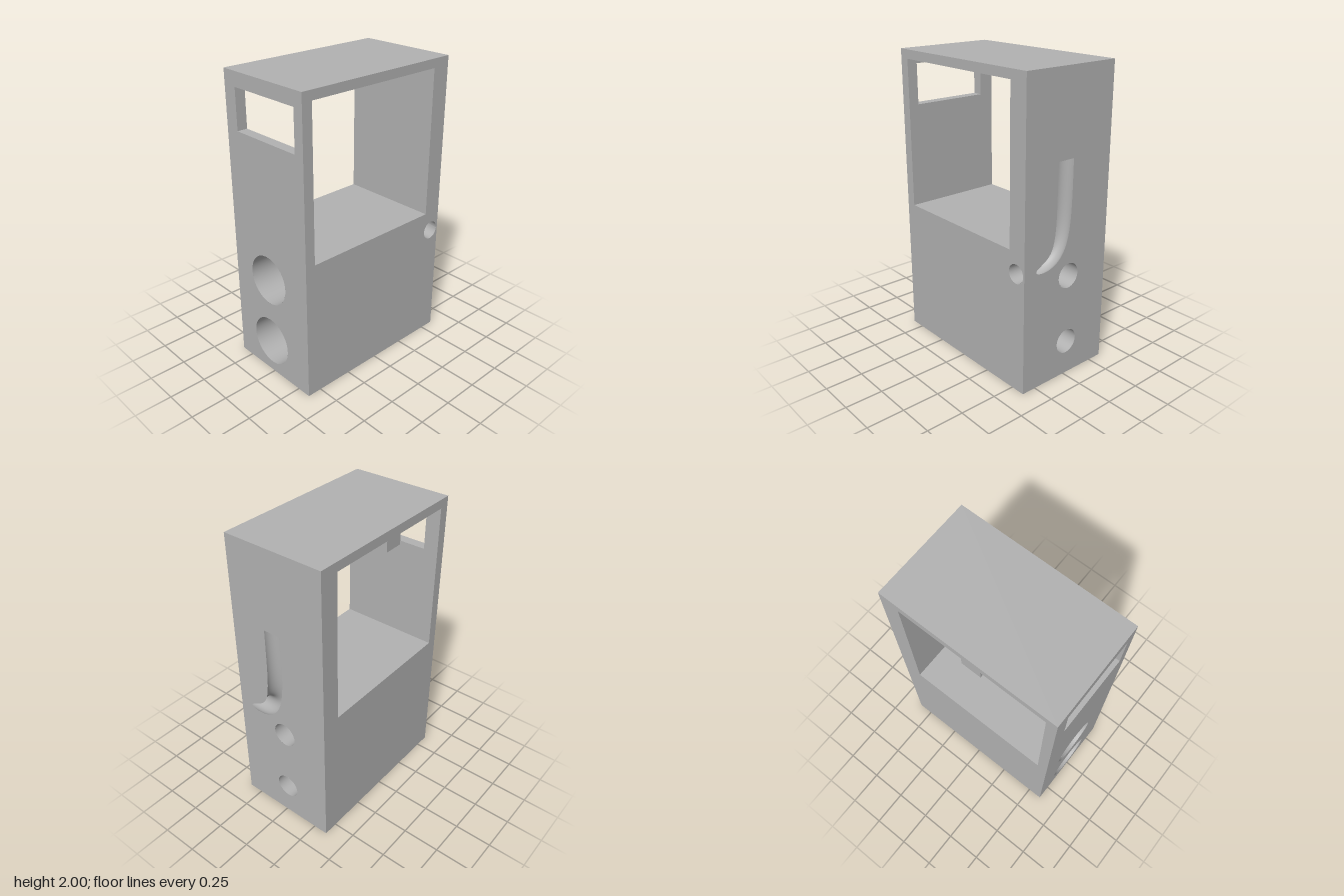
import * as THREE from 'three';

const W = 0.35, H = 2, D = 0.6;                               // half width, height, half depth
const OPEN = { z0: -0.47, z1: 0.53, y0: 0.94, y1: 1.94 };     // side-to-side opening
const SLOT = [-0.25, 1.635, 0.28, 1.905];                     // front window: x0, y0, x1, y1
const BORES = [[-0.02, 0.235], [-0.02, 0.7]];
const BIG = 0.168, SMALL = 0.083, STEP_Z = 0;
const PIPE = 0.063;

export function createModel() {
  const group = new THREE.Group();
  const grey = new THREE.MeshStandardMaterial({ color: 0xb2b2b2, side: THREE.DoubleSide });
  grey.name = 'grey';

  const add = (name, geometry, x = 0, y = 0, z = 0) => {
    const mesh = new THREE.Mesh(geometry, grey);
    mesh.name = name;
    mesh.position.set(x, y, z);
    group.add(mesh);
    return mesh;
  };
  const rect = (x0, y0, x1, y1, Type = THREE.Shape) => new Type([
    new THREE.Vector2(x0, y0), new THREE.Vector2(x1, y0),
    new THREE.Vector2(x1, y1), new THREE.Vector2(x0, y1),
  ]);
  const disc = (x, y, r, Type = THREE.Path) => new Type().absarc(x, y, r, 0, Math.PI * 2);
  const panel = (shape, holes = []) => {
    shape.holes.push(...holes);
    return new THREE.ShapeGeometry(shape, 48);
  };

  // Curved channel: enters the right side, bends upward and breaks out of the back
  const path = new THREE.CubicBezierCurve3(
    new THREE.Vector3(W, 0.8, -0.527), new THREE.Vector3(0.02, 0.8, -0.56),
    new THREE.Vector3(0.03, 0.9, -0.58), new THREE.Vector3(0.03, 1.455, -D));
  const STEPS = 64, SIDES = 32;
  const pos = [], index = [], edgeA = [], edgeB = [];
  for (let i = 0; i <= STEPS; i++) {
    const c = path.getPoint(i / STEPS), t = path.getTangent(i / STEPS);
    const u = new THREE.Vector2(-t.y, t.x).normalize();
    // keep only the arc of the section that lies inside the back face
    const start = Math.asin(Math.max(-1, (-D - c.z) / PIPE));
    for (let j = 0; j <= SIDES; j++) {
      const a = start + (Math.PI - 2 * start) * j / SIDES;
      const k = PIPE * Math.cos(a);
      pos.push(c.x + u.x * k, c.y + u.y * k, c.z + PIPE * Math.sin(a));
      if (i < STEPS && j < SIDES) {
        const p = i * (SIDES + 1) + j, q = p + SIDES + 1;
        index.push(p, q, p + 1, q, q + 1, p + 1);
      }
    }
    if (start > -Math.PI / 2 + 1e-4) {
      const k = PIPE * Math.cos(start);
      edgeA.push(new THREE.Vector2(c.x + u.x * k, c.y + u.y * k));
      edgeB.unshift(new THREE.Vector2(c.x - u.x * k, c.y - u.y * k));
    }
  }
  const channel = new THREE.BufferGeometry();
  channel.setAttribute('position', new THREE.Float32BufferAttribute(pos, 3));
  channel.setIndex(index);
  channel.computeVertexNormals();
  add('curvedChannel', channel);
  add('channelEnd', new THREE.CircleGeometry(PIPE, 24, 0, Math.PI).rotateX(Math.PI / 2), 0.03, 1.455, -D);

  // Outer faces
  add('frontFace', panel(rect(-W, 0, W, H),
    [rect(...SLOT, THREE.Path), ...BORES.map(([x, y]) => disc(x, y, BIG))]), 0, 0, D);
  add('backFace', panel(rect(-W, 0, W, H),
    [new THREE.Path([...edgeA, ...edgeB]), ...BORES.map(([x, y]) => disc(x, y, SMALL))]), 0, 0, -D);
  for (const s of [1, -1]) {
    const holes = [rect(-OPEN.z1, OPEN.y0, -OPEN.z0, OPEN.y1, THREE.Path)];
    if (s > 0) holes.push(disc(0.527, 0.8, PIPE));
    add(s > 0 ? 'leftFace' : 'rightFace', panel(rect(-D, 0, D, H), holes).rotateY(Math.PI / 2), s * W);
  }
  add('topFace', new THREE.PlaneGeometry(2 * W, 2 * D).rotateX(-Math.PI / 2), 0, H, 0);
  add('bottomFace', new THREE.PlaneGeometry(2 * W, 2 * D).rotateX(Math.PI / 2));

  // Inside of the large opening
  const len = OPEN.z1 - OPEN.z0, midZ = (OPEN.z0 + OPEN.z1) / 2;
  add('openingFloor', new THREE.PlaneGeometry(2 * W, len).rotateX(-Math.PI / 2), 0, OPEN.y0, midZ);
  add('openingCeiling', new THREE.PlaneGeometry(2 * W, len).rotateX(Math.PI / 2), 0, OPEN.y1, midZ);
  add('openingBack', panel(rect(-W, OPEN.y0, W, OPEN.y1)), 0, 0, OPEN.z0);
  add('openingFront', panel(rect(-W, OPEN.y0, W, OPEN.y1), [rect(...SLOT, THREE.Path)]), 0, 0, OPEN.z1);
  add('ceilingTab', new THREE.BoxGeometry(0.03, 0.07, 0.13), -W + 0.015, OPEN.y1 - 0.035, 0.035);

  // Edges of the front window
  const [x0, y0, x1, y1] = SLOT, thick = D - OPEN.z1, wallZ = (D + OPEN.z1) / 2;
  for (const [y, s] of [[y0, -1], [y1, 1]])
    add('windowEdge', new THREE.PlaneGeometry(x1 - x0, thick).rotateX(s * Math.PI / 2), (x0 + x1) / 2, y, wallZ);
  for (const [x, s] of [[x0, 1], [x1, -1]])
    add('windowEdge', new THREE.PlaneGeometry(thick, y1 - y0).rotateY(s * Math.PI / 2), x, (y0 + y1) / 2, wallZ);

  // Stepped bores running from front to back
  const bore = (r, zA, zB) => new THREE.CylinderGeometry(r, r, zB - zA, 48, 1, true)
    .rotateX(Math.PI / 2).translate(0, 0, (zA + zB) / 2);
  for (const [x, y] of BORES) {
    add('wideBore', bore(BIG, STEP_Z, D), x, y);
    add('boreStep', new THREE.RingGeometry(SMALL, BIG, 48), x, y, STEP_Z);
    add('narrowBore', bore(SMALL, -D, STEP_Z), x, y);
  }
  return group;
}
